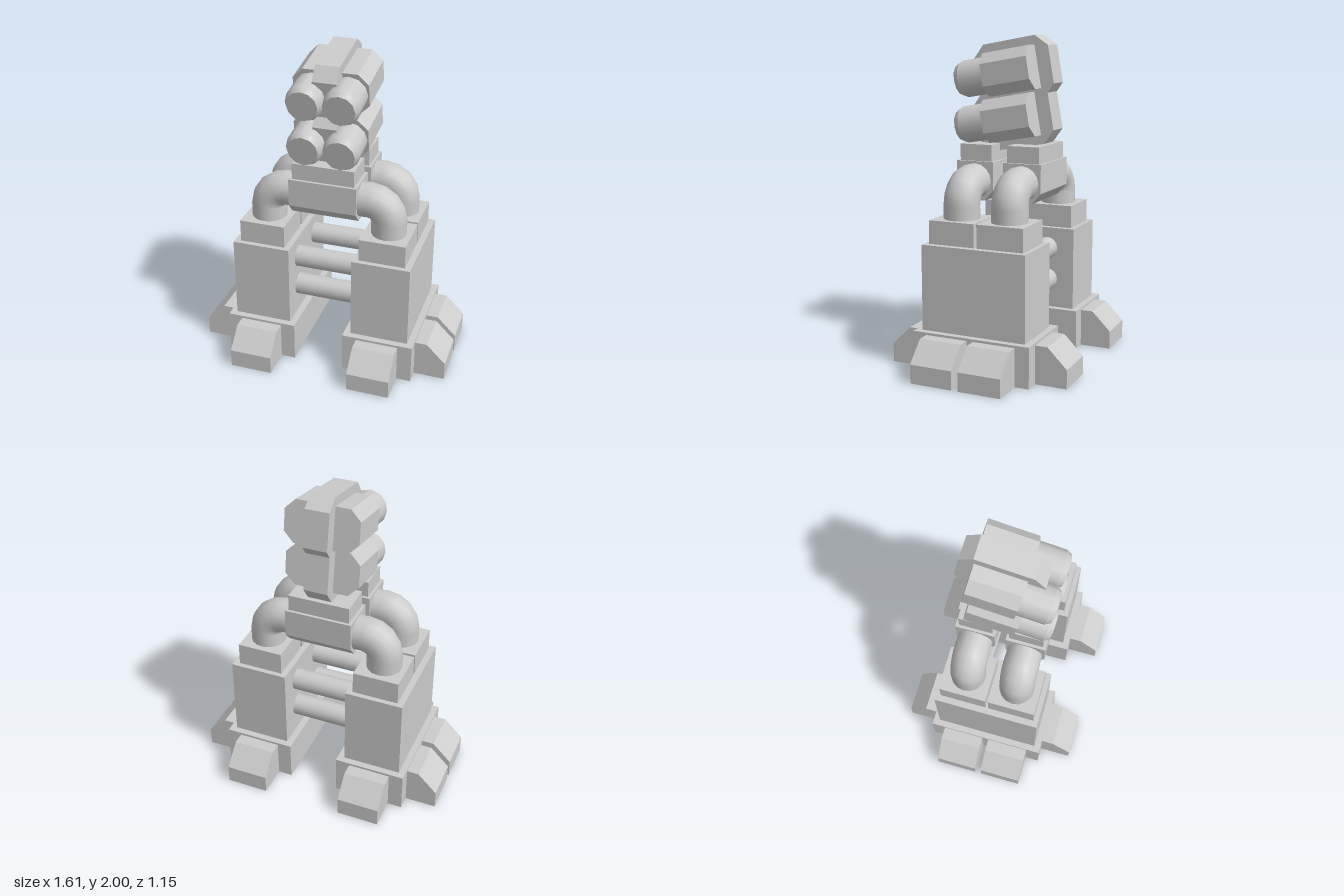
import * as THREE from 'three';

const mat = new THREE.MeshStandardMaterial({ color: 0xcccccc });
const hollowMat = new THREE.MeshStandardMaterial({ color: 0xcccccc, side: THREE.DoubleSide });

function add(parent, name, geo, x = 0, y = 0, z = 0, material = mat) {
  const m = new THREE.Mesh(geo, material);
  m.name = name;
  m.position.set(x, y, z);
  parent.add(m);
  return m;
}

// Box given by its limits in x, y and z
function box(parent, name, x0, x1, y0, y1, z0, z1) {
  return add(parent, name, new THREE.BoxGeometry(x1 - x0, y1 - y0, z1 - z0),
    (x0 + x1) / 2, (y0 + y1) / 2, (z0 + z1) / 2);
}

// Outline extruded along z and centred
function prism(points, depth) {
  const shape = new THREE.Shape(points.map(([x, y]) => new THREE.Vector2(x, y)));
  const geo = new THREE.ExtrudeGeometry(shape, { depth, bevelEnabled: false });
  return geo.translate(0, 0, -depth / 2);
}

// Outline of [z, y] points extruded along x and centred
const sidePrism = (points, width) => prism(points, width).rotateY(-Math.PI / 2);

// Rectangle with cut corners
function cutRect(x0, x1, h, cx, cy) {
  return [[x0 + cx, -h], [x1 - cx, -h], [x1, -h + cy], [x1, h - cy],
    [x1 - cx, h], [x0 + cx, h], [x0, h - cy], [x0, -h + cy]];
}

// Removes the triangles lying on the lowest plane, leaving a hollow shell
function openBottom(source) {
  const geo = source.index ? source.toNonIndexed() : source;
  geo.computeBoundingBox();
  const low = geo.boundingBox.min.y + 1e-5;
  const p = geo.attributes.position;
  const index = [];
  for (let i = 0; i < p.count; i += 3) {
    if (Math.max(p.getY(i), p.getY(i + 1), p.getY(i + 2)) > low) index.push(i, i + 1, i + 2);
  }
  geo.setIndex(index);
  return geo;
}

// Leg on the +x side, with its foot, toes and two pipe elbows
function buildLeg() {
  const leg = new THREE.Group();
  add(leg, 'footBase', openBottom(new THREE.BoxGeometry(0.45, 0.25, 0.755)), 0.385, 0.125, 0, hollowMat);
  box(leg, 'legColumn', 0.203, 0.57, 0.25, 0.775, -0.336, 0.336);

  const toeGeo = openBottom(sidePrism(
    [[0, 0], [0.198, 0], [0.198, 0.115], [0.078, 0.235], [0, 0.235]], 0.268));
  const toes = [['frontToe', 0.385, 0.377, 0], ['backToe', 0.385, -0.377, Math.PI],
    ['sideToeFront', 0.608, 0.155, Math.PI / 2], ['sideToeBack', 0.608, -0.155, Math.PI / 2]];
  for (const [name, x, z, turn] of toes) add(leg, name, toeGeo, x, 0, z, hollowMat).rotation.y = turn;

  for (const z of [0.157, -0.157]) {
    box(leg, 'legCap', 0.24, 0.53, 0.775, 0.918, z - 0.148, z + 0.148);
    add(leg, 'pipeUpright', new THREE.CylinderGeometry(0.11, 0.11, 0.09, 16, 1, true), 0.388, 0.958, z);
    add(leg, 'pipeElbow', new THREE.TorusGeometry(0.12, 0.11, 16, 4, Math.PI / 2), 0.268, 1.0, z);
    add(leg, 'pipeStub', new THREE.CylinderGeometry(0.108, 0.108, 0.08, 16).rotateZ(Math.PI / 2), 0.235, 1.12, z);
  }
  return leg;
}

// One tilted tier of the head: centre plate, wide housing and two nozzles
function buildTier() {
  const tier = new THREE.Group();
  tier.name = 'headTier';
  add(tier, 'centrePlate', sidePrism(cutRect(-0.238, 0.259, 0.188, 0.075, 0.073), 0.15));
  add(tier, 'housing', prism(cutRect(-0.233, 0.233, 0.132, 0.064, 0.064), 0.306));
  for (const x of [-0.113, 0.113]) {
    add(tier, 'nozzle', new THREE.CylinderGeometry(0.113, 0.113, 0.17, 12).rotateX(Math.PI / 2), x, 0, 0.235);
    add(tier, 'nozzleRim', new THREE.CylinderGeometry(0.096, 0.113, 0.032, 12).rotateX(Math.PI / 2), x, 0, 0.336);
  }
  return tier;
}

export function createModel() {
  const model = new THREE.Group();
  model.name = 'turretWalker';

  // Legs
  const leftLeg = buildLeg();
  leftLeg.name = 'leftLeg';
  const rightLeg = buildLeg();
  rightLeg.name = 'rightLeg';
  rightLeg.rotation.y = Math.PI;
  model.add(leftLeg, rightLeg);

  for (const z of [0.157, -0.157]) {
    // Bars joining the legs
    for (const y of [0.435, 0.643]) {
      add(model, 'crossBar', new THREE.CylinderGeometry(0.069, 0.069, 0.42, 16).rotateZ(Math.PI / 2), 0, y, z);
    }
    // Hip block with chamfered lower edges and the neck block on top
    add(model, 'hipBlock', sidePrism(
      [[-0.065, 1.0], [0.065, 1.0], [0.123, 1.065], [0.123, 1.24], [-0.123, 1.24], [-0.123, 1.065]], 0.425), 0, 0, z);
    box(model, 'neckBlock', -0.195, 0.195, 1.24, 1.342, z - 0.105, z + 0.105);
  }

  // Head: two identical tiers, tipped forward
  const head = new THREE.Group();
  head.name = 'head';
  for (const y of [1.507, 1.788]) {
    const tier = buildTier();
    tier.position.set(0, y, -0.05);
    tier.rotation.x = THREE.MathUtils.degToRad(10);
    head.add(tier);
  }
  model.add(head);
  return model;
}
